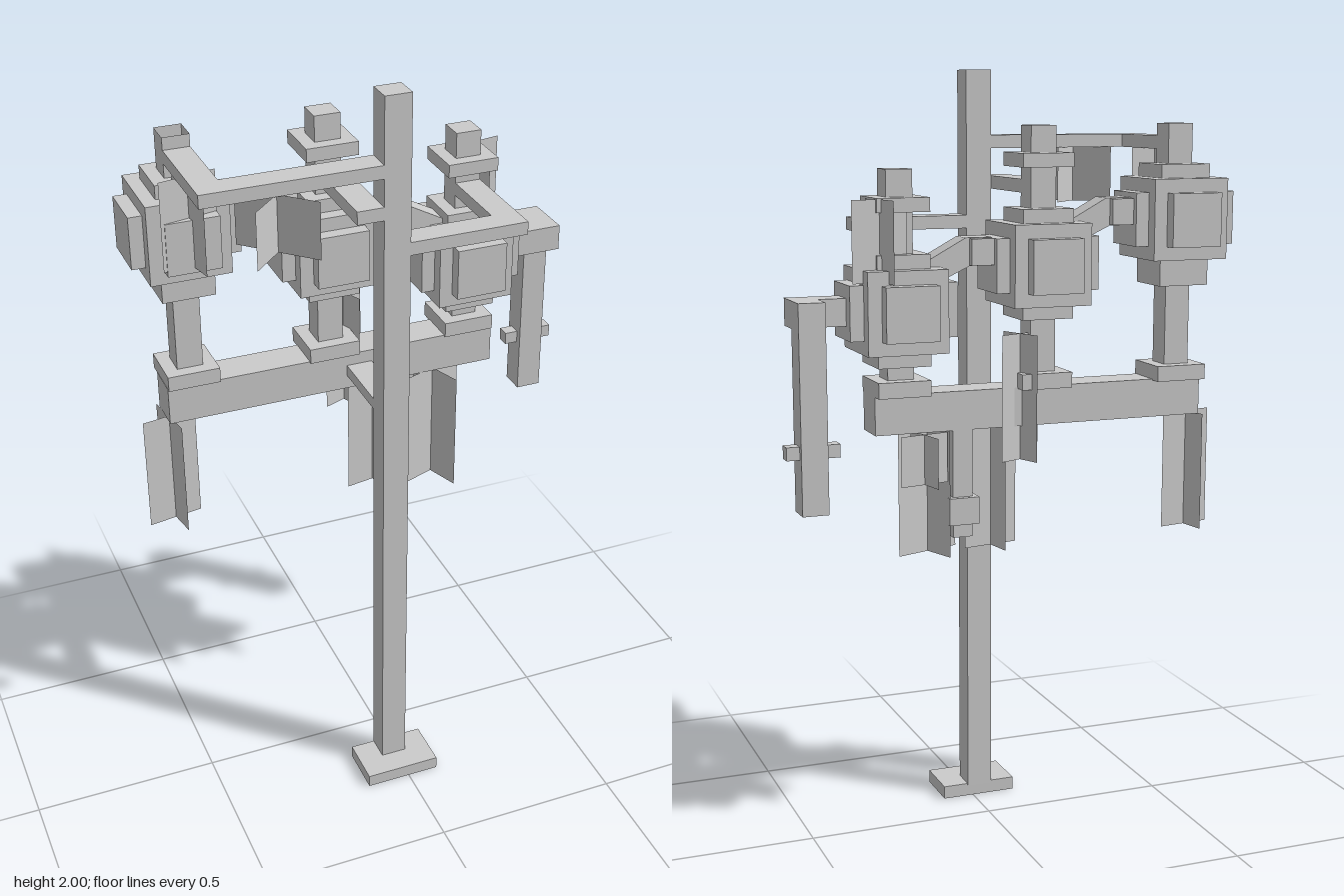
import * as THREE from 'three';

const grey = new THREE.MeshStandardMaterial({ color: 0xcccccc, flatShading: true });
const thin = new THREE.MeshStandardMaterial({ color: 0xcccccc, flatShading: true, side: THREE.DoubleSide });

// Box given by its extents along each axis
function box(parent, name, x0, x1, y0, y1, z0, z1, material = grey) {
  const mesh = new THREE.Mesh(new THREE.BoxGeometry(x1 - x0, y1 - y0, z1 - z0), material);
  mesh.position.set((x0 + x1) / 2, (y0 + y1) / 2, (z0 + z1) / 2);
  mesh.name = name;
  parent.add(mesh);
  return mesh;
}

// Square column of half-width h around (x, z)
const column = (parent, name, x, z, h, y0, y1) => box(parent, name, x - h, x + h, y0, y1, z - h, z + h);

// Two thin sheets crossing at a right angle
function crossedSheets(parent, name, x, z, y0, y1, width, degrees) {
  const g = new THREE.Group();
  g.name = name;
  for (const turn of [0, Math.PI / 2]) {
    const sheet = new THREE.Mesh(new THREE.PlaneGeometry(width, y1 - y0), thin);
    sheet.rotation.y = turn;
    g.add(sheet);
  }
  g.position.set(x, (y0 + y1) / 2, z);
  g.rotation.y = THREE.MathUtils.degToRad(degrees);
  parent.add(g);
}

const UNIT_Z = -0.122, CORE = 0.103, PLATE = 0.068, REACH = 0.138, NECK = 0.034;

// Blocky body with raised plates, on a stem, with a cap above
function createUnit(parent, name, x, y, capped) {
  const g = new THREE.Group();
  g.name = name;
  column(g, 'core', x, UNIT_Z, CORE, y - CORE, y + CORE);
  for (const axis of [0, 1, 2]) {
    const h = [PLATE, PLATE, PLATE];
    h[axis] = REACH;
    box(g, 'facePlates', x - h[0], x + h[0], y - h[1], y + h[1], UNIT_Z - h[2], UNIT_Z + h[2]);
  }
  column(g, 'stem', x, UNIT_Z, NECK, 1.24, y - REACH);
  column(g, 'foot', x, UNIT_Z, PLATE, 1.205, 1.245);
  if (capped) {
    column(g, 'neck', x, UNIT_Z, NECK, y + REACH, y + 0.24);
    column(g, 'flange', x, UNIT_Z, PLATE, y + 0.24, y + 0.275);
    column(g, 'cap', x, UNIT_Z, NECK, y + 0.275, y + 0.342);
  } else {
    // Neck left open at the top
    const tube = new THREE.Mesh(new THREE.CylinderGeometry(NECK * Math.SQRT2, NECK * Math.SQRT2, 0.102, 4, 1, true), thin);
    tube.rotation.y = Math.PI / 4;
    tube.position.set(x, y + 0.189, UNIT_Z);
    tube.name = 'openNeck';
    g.add(tube);
    column(g, 'lowerCollar', x, UNIT_Z, PLATE, y - 0.172, y - REACH);
  }
  parent.add(g);
}

// Bent link between neighbouring bodies: level, then sloping down
function createLink(parent, x, y) {
  const s = new THREE.Shape();
  [[0, -0.035], [0, 0.035], [0.07, 0.035], [0.2, -0.035], [0.2, -0.1], [0.06, -0.035]]
    .forEach(([px, py], i) => (i ? s.lineTo(px, py) : s.moveTo(px, py)));
  s.closePath();
  const mesh = new THREE.Mesh(new THREE.ExtrudeGeometry(s, { depth: 0.066, bevelEnabled: false }), grey);
  mesh.position.set(x, y, UNIT_Z - 0.033);
  mesh.name = 'slopingLink';
  parent.add(mesh);
  box(parent, 'linkCollar', x, x + 0.06, y - 0.033, y + 0.033, UNIT_Z - 0.052, UNIT_Z + 0.052);
}

export function createModel() {
  const model = new THREE.Group();
  model.name = 'pole with three units';

  // Pole, base and bracket
  box(model, 'pole', -0.053, 0.016, 0.03, 2, 0.122, 0.19);
  box(model, 'base', -0.12, 0.085, 0, 0.035, 0.125, 0.257);
  box(model, 'beam', -0.535, 0.36, 1.108, 1.208, -0.157, -0.06);
  box(model, 'beamBracket', -0.053, 0.016, 1.145, 1.175, -0.065, 0.125);

  // Three bodies stepping down, each held by an arm from the pole
  const units = [
    ['rightUnit', -0.466, 1.625, false],
    ['middleUnit', -0.087, 1.52, true],
    ['leftUnit', 0.292, 1.418, true],
  ];
  for (const [name, x, y, capped] of units) {
    createUnit(model, name, x, y, capped);
    const y0 = y + 0.174, y1 = y + 0.208;
    box(model, 'armReach', x - NECK, x + NECK, y0, y1, -0.088, 0.19);
    if (x < -0.2) box(model, 'armSide', x + NECK, -0.05, y0, y1, 0.122, 0.19);
    if (x > 0.2) box(model, 'armSide', 0.015, x - NECK, y0, y1, 0.122, 0.19);
  }
  createLink(model, -0.33, 1.645);
  createLink(model, 0.05, 1.555);

  // Hanging handle on the left
  box(model, 'handleArm', 0.425, 0.567, 1.385, 1.453, -0.157, -0.09);
  box(model, 'handle', 0.5, 0.567, 0.935, 1.453, -0.225, -0.157);
  box(model, 'handlePeg', 0.465, 0.6, 1.073, 1.106, -0.21, -0.175);

  // Small lantern under the beam
  column(model, 'lanternStem', 0.13, -0.13, 0.026, 0.93, 1.11);
  column(model, 'lanternBody', 0.13, -0.13, 0.04, 0.865, 0.935);
  column(model, 'lanternTip', 0.13, -0.13, 0.026, 0.83, 0.865);

  // Crossed sheets: x, z, bottom, top, width, turn
  [
    [-0.527, -0.1, 0.795, 1.108, 0.147, 10],
    [0.03, -0.09, 0.785, 1.108, 0.152, 10],
    [0.198, -0.075, 0.78, 1.108, 0.186, 20],
    [0.24, -0.18, 0.98, 1.108, 0.135, 12],
    [-0.028, -0.15, 1.02, 1.345, 0.125, 22],
    [-0.312, 0.178, 1.655, 1.8, 0.218, 45],
    [-0.47, 0, 1.57, 1.8, 0.15, 12],
    [0.35, -0.18, 1.49, 1.69, 0.15, 10],
  ].forEach((p) => crossedSheets(model, 'crossedSheets', ...p));

  return model;
}
